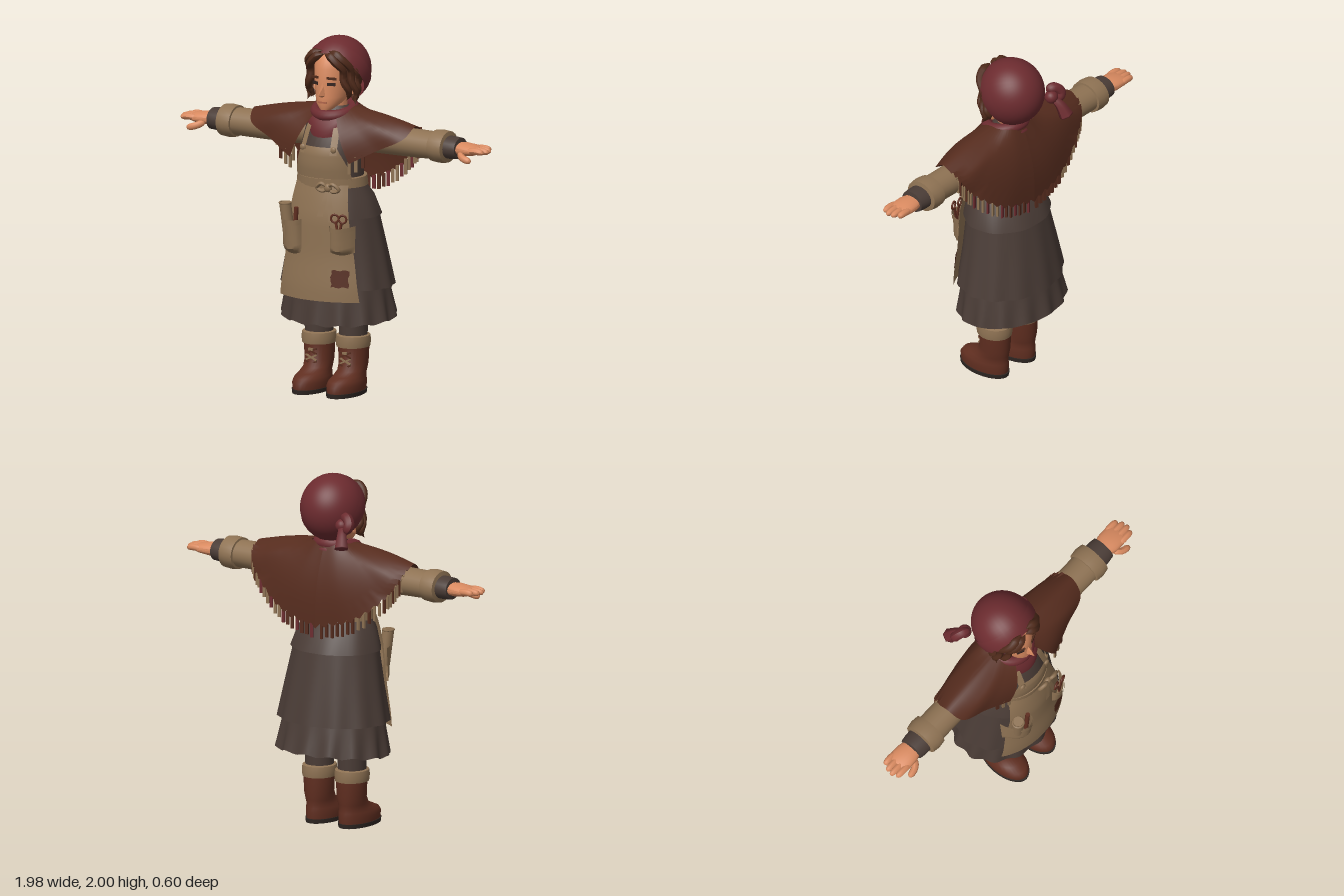
import * as THREE from 'three';
import { mergeVertices, toCreasedNormals } from 'three/addons/utils/BufferGeometryUtils.js';
import { ConvexGeometry } from 'three/addons/geometries/ConvexGeometry.js';

const V = (x, y, z) => new THREE.Vector3(x, y, z);
const lerp = THREE.MathUtils.lerp;

// Surface from f(u, v) -> [x, y, z], u to the right and v up as seen from outside
function grid(nu, nv, f) {
  const p = [], idx = [];
  for (let j = 0; j <= nv; j++) for (let i = 0; i <= nu; i++) p.push(...f(i / nu, j / nv));
  for (let j = 0; j < nv; j++) for (let i = 0; i < nu; i++) {
    const a = j * (nu + 1) + i, b = a + nu + 1;
    idx.push(a, a + 1, b + 1, a, b + 1, b);
  }
  let g = new THREE.BufferGeometry();
  g.setAttribute('position', new THREE.Float32BufferAttribute(p, 3));
  g.setIndex(idx);
  g = mergeVertices(g, 1e-5);
  g.computeVertexNormals();
  return toCreasedNormals(g, 0.8);
}

// Elliptical rings [y, rx, rz, cz] stacked upwards
function loft(rows, seg = 32, wave = () => 1) {
  const n = rows.length - 1;
  return grid(seg, n, (u, v) => {
    const [y, rx, rz, cz = 0] = rows[Math.round(v * n)], a = u * Math.PI * 2, k = wave(a, v);
    return [Math.sin(a) * rx * k, y, cz + Math.cos(a) * rz * k];
  });
}

// Round strand along points, its radius shaped by prof(t)
function strand(pts, r, prof = t => Math.sqrt(Math.max(0.002, 1 - Math.abs(2 * t - 1) ** 4)), n = 20, m = 8) {
  const c = new THREE.CatmullRomCurve3(pts.map(q => V(...q)));
  const g = new THREE.TubeGeometry(c, n, r, m), p = g.attributes.position, q = V(0, 0, 0);
  for (let i = 0; i <= n; i++) {
    const o = c.getPointAt(i / n), k = prof(i / n);
    for (let j = 0; j <= m; j++) {
      const id = i * (m + 1) + j;
      q.fromBufferAttribute(p, id).sub(o).multiplyScalar(k).add(o);
      p.setXYZ(id, q.x, q.y, q.z);
    }
  }
  g.computeVertexNormals();
  return g;
}

// Clothed body outline [y, rx, rz, cz]
const BODY = [[0.41, 0.345, 0.27, -0.03], [0.62, 0.33, 0.262, -0.02], [0.8, 0.295, 0.24, -0.012], [1.01, 0.265, 0.222, 0.005],
  [1.12, 0.232, 0.19, 0.02], [1.2, 0.185, 0.152, 0.04], [1.3, 0.182, 0.162, 0.045], [1.38, 0.182, 0.165, 0.04],
  [1.5, 0.165, 0.13, 0.02], [1.57, 0.11, 0.1, 0], [1.62, 0.07, 0.07, -0.01]];
function frontZ(x, y, off) {
  let i = 0;
  while (i < BODY.length - 2 && y > BODY[i + 1][0]) i++;
  const A = BODY[i], B = BODY[i + 1], t = (y - A[0]) / (B[0] - A[0]);
  const [, rx, rz, cz] = A.map((a, k) => lerp(a, B[k], t));
  return cz + off + rz * Math.sqrt(Math.max(0.05, 1 - (x / (rx + off)) ** 2));
}

export function createModel() {
  const root = new THREE.Group();
  const M = {};
  const colour = (key, name, hex, side = THREE.FrontSide) => {
    M[key] = new THREE.MeshStandardMaterial({ color: hex, side });
    M[key].name = name;
  };
  const D = THREE.DoubleSide;
  colour('skin', 'skin', 0xd98a60);
  colour('tan', 'tan linen', 0x8e7253, D);
  colour('dress', 'dark brown wool', 0x4a3c36, D);
  colour('shawl', 'shawl brown', 0x562c1e, D);
  colour('red', 'dull red cloth', 0x6c2b2f, D);
  colour('hair', 'hair brown', 0x4f2a1a);
  colour('boot', 'boot leather', 0x602e20);
  colour('sole', 'dark sole', 0x2e2622);
  colour('eye', 'eye dark', 0x33221e);
  colour('lip', 'lip', 0xb0654a);
  const add = (name, g, m, pos = [0, 0, 0], rot = [0, 0, 0], scl = [1, 1, 1]) => {
    const o = new THREE.Mesh(g, M[m]);
    o.name = name;
    o.position.set(...pos); o.rotation.set(...rot); o.scale.set(...scl);
    root.add(o);
    return o;
  };
  const ball = (name, m, r, pos, scl) => add(name, new THREE.SphereGeometry(r, 20, 14), m, pos, [0, 0, 0], scl);
  const box = (name, m, size, pos, rot) => add(name, new THREE.BoxGeometry(...size), m, pos, rot);

  // Dress: bodice and three skirt tiers with pleats
  const pleat = (n, a) => (t, v) => 1 + a * (1 - v) * Math.cos(n * t);
  add('bodice', loft(BODY.slice(5)), 'dress');
  add('overskirt', loft(BODY.slice(3, 6), 64, pleat(9, 0.012)), 'dress');
  add('middleSkirt', loft([[0.61, 0.33, 0.262, -0.02], [0.8, 0.293, 0.237, -0.012], [1.03, 0.25, 0.205, 0.005]], 96, pleat(12, 0.022)), 'dress');
  add('skirtRuffle', grid(112, 3, (u, v) => {
    const a = u * Math.PI * 2, w = 1 + 0.035 * (1 - v) * Math.cos(14 * a);
    const y = lerp(0.425 - 0.02 * Math.cos(a) + 0.008 * Math.cos(14 * a), 0.66, v);
    return [Math.sin(a) * lerp(0.335, 0.295, v) * w, y, lerp(-0.03, -0.018, v) + Math.cos(a) * lerp(0.268, 0.232, v) * w];
  }), 'dress');

  // Apron: skirt panel, bib, waistband, straps
  add('apronSkirt', grid(24, 14, (u, v) => {
    const y = lerp(0.55, 1.2, v), x = (2 * u - 1) * lerp(0.255, 0.165, v);
    return [x, y, frontZ(x, y, 0.018)];
  }), 'tan');
  add('apronBib', grid(20, 8, (u, v) => {
    const y = lerp(1.2, 1.41, v), x = (2 * u - 1) * (0.178 - 0.07 * v * v);
    return [x, y, frontZ(x, y, 0.014)];
  }), 'tan');
  add('apronWaistband', loft([[1.18, 0.185, 0.15, 0.04], [1.182, 0.207, 0.175, 0.04], [1.234, 0.2, 0.176, 0.042], [1.238, 0.175, 0.15, 0.04]]), 'tan');
  for (const s of [-1, 1]) {
    add('apronStrap', grid(2, 8, (u, v) => {
      const y = lerp(1.37, 1.56, v), x = s * lerp(0.1, 0.085, v) + (u - 0.5) * 0.035;
      return [x, y, frontZ(x, y, 0.02)];
    }), 'tan');
    ball('strapButton', 'tan', 0.018, [s * 0.098, 1.4, frontZ(0.098, 1.4, 0.022)], [1, 1, 0.6]);
  }
  add('apronPatch', grid(6, 5, (u, v) => {
    const x = lerp(0.112, 0.205, u) + 0.005 * Math.sin(v * 9), y = lerp(0.635, 0.73, v) + 0.004 * Math.sin(u * 11);
    return [x, y, frontZ(x, y, 0.024)];
  }), 'shawl');

  // Apron bow
  const kz = frontZ(0.08, 1.19, 0.04);
  ball('bowKnot', 'tan', 0.024, [0.08, 1.19, kz], [1, 1, 0.7]);
  for (const [s, tx, ty] of [[-1, 0.045, 1.03], [1, 0.115, 1.0]]) {
    add('bowLoop', strand([[0.08, 1.19, kz], [0.08 + s * 0.035, 1.215, kz + 0.012], [0.08 + s * 0.07, 1.185, kz], [0.08 + s * 0.035, 1.17, kz], [0.08, 1.185, kz]], 0.011), 'tan');
    add('bowTail', grid(2, 6, (u, v) => {
      const x = lerp(tx, 0.08, v) + (u - 0.5) * lerp(0.036, 0.018, v), y = lerp(ty, 1.19, v);
      return [x, y, frontZ(x, y, 0.034)];
    }), 'tan');
  }

  // Pockets and tools
  for (const [x0, x1, y0, y1, d] of [[-0.238, -0.082, 0.81, 1.0, 0.055], [0.1, 0.225, 0.83, 0.98, 0.045]]) {
    const z = (x, y, u, v, k) => frontZ(x, y, 0.022) + k * d * Math.sin(Math.PI * u) ** 0.6 * (0.75 + 0.4 * v) * Math.min(1, v * 6);
    const pocket = (u, v) => {
      const x = lerp(x0, x1, u), y = lerp(y0, y1, v) - 0.015 * Math.sin(Math.PI * u) * (v < 0.5 ? 1 : 0.6);
      return [x, y, z(x, y, u, v, 1)];
    };
    add('pocket', grid(16, 12, pocket), 'tan');
    add('pocketHem', grid(16, 2, (u, v) => { const p = pocket(u, 0.84 + 0.16 * v); p[2] += 0.008; return p; }), 'tan');
  }
  add('scroll', new THREE.CylinderGeometry(0.033, 0.033, 0.2, 18), 'tan', [-0.178, 0.985, 0.232], [0.1, 0, 0.08]);
  add('scrollEdge', new THREE.TorusGeometry(0.031, 0.006, 6, 18), 'tan', [-0.186, 1.082, 0.242], [Math.PI / 2, 0, 0]);
  add('pocketTool', new THREE.CylinderGeometry(0.013, 0.013, 0.18, 10), 'boot', [-0.118, 0.975, 0.245], [0, 0, -0.08]);
  for (const s of [-1, 1]) {
    add('scissorHandle', new THREE.TorusGeometry(0.022, 0.006, 8, 18), 'boot', [0.158 + s * 0.025, 1.025, 0.24], [0, 0.3, 0]);
    box('scissorBlade', 'boot', [0.013, 0.12, 0.008], [0.158 + s * 0.008, 0.95, 0.24], [0, 0, -s * 0.18]);
  }

  // Shawl with fringe, one half per side
  const curve = a => new THREE.CatmullRomCurve3(a.map(p => V(...p)));
  const neckline = curve([[0.075, 1.57, 0.125], [0.1, 1.59, 0.09], [0.12, 1.61, 0.05], [0.12, 1.62, 0.01], [0.12, 1.62, -0.03], [0.11, 1.62, -0.07], [0.07, 1.62, -0.1], [0, 1.62, -0.11]]);
  const hem = curve([[0.19, 1.33, 0.185], [0.34, 1.41, 0.14], [0.49, 1.485, 0.1], [0.52, 1.548, 0.01], [0.505, 1.47, -0.095], [0.43, 1.36, -0.135], [0.23, 1.21, -0.185], [0, 1.15, -0.2]]);
  for (const s of [-1, 1]) {
    add('shawl', grid(56, 8, (u, v) => {
      const p = hem.getPoint(u).lerp(neckline.getPoint(u), v), b = Math.sin(Math.PI * v);
      const jag = v === 0 && u > 0.5 && Math.round(u * 56) % 2 ? 0.022 : 0;
      return [s * p.x, p.y + 0.008 * b + jag, p.z + 0.03 * b * Math.max(-1, Math.min(1, p.z * 12))];
    }), 'shawl');
    for (let i = 0; i < 24; i++) {
      const u = i < 3 ? i * 0.035 : 0.56 + (i - 3) * 0.021, p = hem.getPoint(u);
      const m = i % 3 === 2 ? (s > 0 && i > 8 ? 'red' : 'shawl') : (i < 18 ? 'tan' : 'shawl');
      box('shawlFringe', m, [0.018, 0.075 + 0.012 * (i % 2), 0.01], [s * p.x, p.y - 0.022, p.z + (p.z < 0 ? 0.014 : -0.006)], [0, s * 0.3, 0]);
    }
  }

  // Neck scarf: draped front point and rolled collar
  add('scarfDrape', grid(48, 6, (u, v) => {
    const a = u * Math.PI * 2, f = Math.max(0, Math.cos(a)) ** 3, b = Math.sin(Math.PI * v) * 0.018;
    const y = lerp(1.55 - 0.115 * f, 1.62 - 0.03 * f, v);
    return [Math.sin(a) * (lerp(0.148, 0.1, v) + b), y, lerp(0.025, 0.01, v) + Math.cos(a) * (lerp(0.145, 0.105, v) + b)];
  }), 'red');
  add('scarfRoll', new THREE.TorusGeometry(0.098, 0.03, 12, 36), 'red', [0, 1.592, 0.015], [Math.PI / 2 + 0.2, 0, 0], [1.08, 1.08, 1.1]);

  // Arms and hands
  for (const s of [-1, 1]) {
    const arm = (name, m, rows) => add(name, loft(rows, 24), m, [0, 1.45, -0.005], [0, 0, -s * Math.PI / 2]);
    arm('sleeve', 'tan', [[0.12, 0.08, 0.085], [0.45, 0.08, 0.088], [0.64, 0.077, 0.088]]);
    arm('sleeveCuff', 'tan', [[0.635, 0.07, 0.075], [0.637, 0.088, 0.102], [0.68, 0.092, 0.107], [0.722, 0.088, 0.1], [0.728, 0.06, 0.07]]);
    arm('underSleeve', 'dress', [[0.7, 0.065, 0.078], [0.76, 0.063, 0.078], [0.798, 0.06, 0.072], [0.802, 0.03, 0.04]]);
    arm('palm', 'skin', [[0.78, 0.035, 0.055], [0.83, 0.037, 0.068], [0.89, 0.03, 0.069], [0.92, 0.02, 0.06], [0.925, 0.001, 0.001]]);
    for (let i = 0; i < 4; i++) {
      const z = -0.056 + i * 0.034, e = [0.965, 0.985, 0.99, 0.975][i];
      add('finger', strand([[s * 0.87, 1.452, z], [s * 0.93, 1.455, z], [s * e, 1.448, z * 0.95]], 0.019), 'skin');
    }
    add('thumb', strand([[s * 0.82, 1.435, 0.045], [s * 0.86, 1.415, 0.075], [s * 0.915, 1.4, 0.085]], 0.02), 'skin');
  }

  // Legs and boots
  for (const s of [-1, 1]) {
    const x = s * 0.11;
    add('leg', loft([[0.28, 0.078, 0.08], [0.4, 0.08, 0.085], [0.75, 0.09, 0.09]], 24), 'dress', [x, 0, 0]);
    add('sockCuff', loft([[0.258, 0.07, 0.08], [0.262, 0.092, 0.102], [0.295, 0.096, 0.106], [0.325, 0.092, 0.102], [0.332, 0.07, 0.075]], 24), 'tan', [x, 0, 0]);
    add('boot', loft([[0.022, 0.086, 0.158, 0.073], [0.06, 0.09, 0.162, 0.073], [0.085, 0.086, 0.152, 0.065], [0.105, 0.078, 0.127, 0.042], [0.13, 0.076, 0.1, 0.012], [0.17, 0.08, 0.09, -0.004], [0.27, 0.086, 0.092, -0.004]]), 'boot', [x, 0, 0]);
    add('bootSole', loft([[0, 0.001, 0.001, 0.073], [0, 0.088, 0.163, 0.073], [0.024, 0.091, 0.166, 0.073], [0.024, 0.001, 0.001, 0.073]]), 'sole', [x, 0, 0]);
    for (let i = 0; i < 3; i++) for (const k of [-1, 1])
      box('bootLace', i === 1 ? 'tan' : 'shawl', [0.075, 0.009, 0.008], [x, 0.15 + i * 0.036, 0.088], [0, 0, k * 0.42]);
    box('bootLaceBow', 'tan', [0.03, 0.014, 0.01], [x, 0.232, 0.092]);
  }

  // Head and face
  add('neck', loft([[1.5, 0.06, 0.06, -0.01], [1.7, 0.058, 0.065, 0]], 20), 'skin');
  add('face', loft([[1.604, 0.001, 0.001, 0.11], [1.608, 0.034, 0.035, 0.11], [1.64, 0.068, 0.08, 0.075], [1.68, 0.088, 0.12, 0.034], [1.75, 0.103, 0.143, 0.01], [1.84, 0.106, 0.144, 0.008], [1.9, 0.1, 0.13, 0], [1.96, 0.06, 0.08, -0.01]]), 'skin');
  add('nose', new ConvexGeometry([[0, 1.77, 0.148], [0.012, 1.755, 0.142], [-0.012, 1.755, 0.142], [0.023, 1.69, 0.14], [-0.023, 1.69, 0.14], [0, 1.695, 0.197], [0, 1.678, 0.15]].map(p => V(...p))), 'skin');
  box('mouth', 'lip', [0.052, 0.01, 0.009], [0, 1.652, 0.152]);
  for (const s of [-1, 1]) {
    box('eye', 'eye', [0.044, 0.017, 0.009], [s * 0.05, 1.757, 0.138], [0, s * 0.38, 0]);
    box('eyebrow', 'hair', [0.056, 0.013, 0.012], [s * 0.052, 1.79, 0.139], [0, s * 0.38, -s * 0.08]);
    ball('ear', 'skin', 0.03, [s * 0.125, 1.7, 0.005], [0.5, 1.15, 0.8]);
  }

  // Hair: mass under the headscarf plus wavy locks
  ball('hairMass', 'hair', 1, [0, 1.81, -0.025], [0.148, 0.165, 0.13]);
  const locks = [
    [[0, 1.925, 0.13], [0.06, 1.9, 0.138], [0.1, 1.84, 0.112], [0.115, 1.75, 0.09], [0.12, 1.66, 0.07]],
    [[0.02, 1.94, 0.115], [0.09, 1.91, 0.115], [0.135, 1.83, 0.07], [0.142, 1.73, 0.05], [0.165, 1.64, 0.045]],
    [[0.1, 1.91, 0.07], [0.145, 1.83, 0.035], [0.145, 1.74, 0.02], [0.14, 1.65, 0.025]]];
  for (const s of [-1, 1]) locks.forEach((l, k) => {
    const c = curve(l), pts = [];
    for (let i = 0; i <= 14; i++) {
      const t = i / 14, p = c.getPoint(t), w = 0.013 * t;
      pts.push([s * (p.x + w * Math.sin(t * 17 + k)), p.y, p.z + w * Math.cos(t * 17 + k)]);
    }
    add('hairLock', strand(pts, 0.026, t => Math.max(0.03, Math.min(1, t * 8) * (1 - 0.4 * t) * Math.min(1, (1 - t) * 10)), 36), 'hair');
  });

  // Headscarf: dome tilted back, folded band, knot and tails
  const tilt = [-0.92, 0, 0], at = [0, 1.81, -0.03];
  add('headscarf', new THREE.SphereGeometry(0.189, 36, 20, 0, Math.PI * 2, 0, 1.82), 'red', at, tilt, [0.94, 1, 1]);
  add('headscarfBand', new THREE.SphereGeometry(0.196, 36, 6, 0, Math.PI * 2, 1.42, 0.43), 'red', at, tilt, [0.94, 1, 0.97]);
  ball('headscarfKnot', 'red', 0.038, [-0.165, 1.755, -0.175], [1, 1, 1]);
  const flare = t => t > 0.98 ? 0.05 : 0.45 + 0.75 * t;
  add('headscarfTail', strand([[-0.16, 1.76, -0.17], [-0.19, 1.71, -0.215], [-0.212, 1.635, -0.25]], 0.036, flare, 24, 6), 'red');
  add('headscarfTail', strand([[-0.15, 1.79, -0.15], [-0.195, 1.8, -0.17], [-0.225, 1.765, -0.19], [-0.2, 1.72, -0.2]], 0.03), 'red');

  return root;
}
